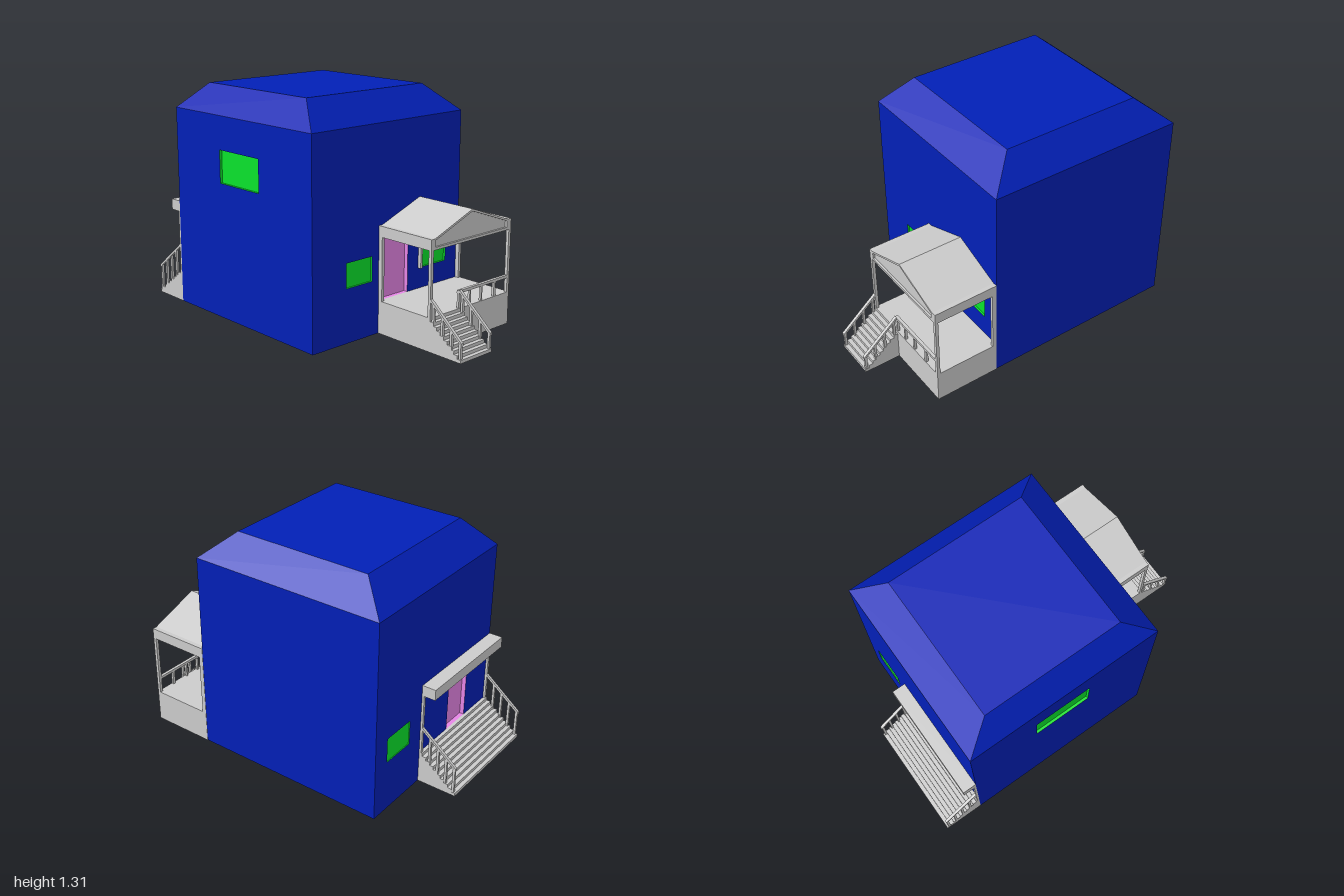
import * as THREE from 'three';

const mat = (color) => new THREE.MeshStandardMaterial({ color, flatShading: true });
const GREY = mat(0xcccccc), BLUE = mat(0x021fb6), GREEN = mat(0x0ae22c), PINK = mat(0xe685e6);

// House extents, and the height of the porch floors and the beams above them
const X0 = -0.56, X1 = 0.555, Z0 = -0.765, Z1 = 0.405, EAVE = 1.163;
const DECK = 0.187, BEAM = 0.548;

function add(parent, name, geometry, material = GREY) {
  const mesh = new THREE.Mesh(geometry, material);
  mesh.name = name;
  parent.add(mesh);
  return mesh;
}

// Box given by its limits
function block(parent, name, x0, x1, y0, y1, z0, z1) {
  const m = add(parent, name, new THREE.BoxGeometry(x1 - x0, y1 - y0, z1 - z0));
  m.position.set((x0 + x1) / 2, (y0 + y1) / 2, (z0 + z1) / 2);
}

// Niche open towards +z: a box turned inside out, without its front face
function niche(parent, name, x0, x1, y0, y1, depth, z, material) {
  const geo = new THREE.BoxGeometry(x1 - x0, y1 - y0, depth);
  const index = Array.from(geo.index.array);
  index.splice(24, 6);
  geo.setIndex(index.reverse());
  geo.computeVertexNormals();
  add(parent, name, geo, material).position.set((x0 + x1) / 2, (y0 + y1) / 2, z - depth / 2);
}

const polygon = (pts) => new THREE.Shape(pts.map(([x, y]) => new THREE.Vector2(x, y)));
const extrude = (shape, depth) => new THREE.ExtrudeGeometry(shape, { depth, bevelEnabled: false });

// Side profile in (z, y), extruded across x0..x1
function sideProfile(pts, x0, x1) {
  return extrude(polygon(pts), x1 - x0).rotateY(-Math.PI / 2).translate(x1, 0, 0);
}

// Wall with recessed openings [name, u0, u1, y0, y1, depth, material]
function wall(parent, name, u0, u1, angle, offset, openings = []) {
  const g = new THREE.Group();
  g.name = name;
  g.rotation.y = angle;
  const shape = polygon([[u0, 0], [u1, 0], [u1, EAVE], [u0, EAVE]]);
  for (const [part, a, b, y0, y1, depth, material] of openings) {
    shape.holes.push(polygon([[a, y0], [a, y1], [b, y1], [b, y0]]));
    niche(g, part, a, b, y0, y1, depth, offset, material);
  }
  add(g, name + 'Panel', new THREE.ShapeGeometry(shape), BLUE).position.z = offset;
  parent.add(g);
}

// Stairs descending from the deck along +z
function stairs(parent, name, x0, x1, zTop, zEnd, steps = 9) {
  const pts = [[zTop, 0], [zTop, DECK]];
  const run = (zEnd - zTop) / steps, rise = DECK / (steps + 1);
  for (let i = 1; i <= steps; i++) {
    const y = DECK - i * rise;
    pts.push([zTop + (i - 1) * run, y], [zTop + i * run, y]);
  }
  pts.push([zEnd, 0]);
  add(parent, name, sideProfile(pts, x0, x1));
}

// Sloped handrail with four balusters, placed from k0 to k1 along it
function stairRail(parent, x0, x1, zTop, yTop, zEnd, yEnd, k0, k1) {
  const g = new THREE.Group();
  g.name = 'stairRailing';
  const t = 0.016, w = 0.007, mid = (x0 + x1) / 2;
  add(g, 'handrail', sideProfile(
    [[zTop, yTop - t], [zEnd, yEnd - t], [zEnd, yEnd], [zTop, yTop]], x0, x1));
  for (let i = 0; i < 4; i++) {
    const k = k0 + (k1 - k0) * i / 3;
    const z = zTop + (zEnd - zTop) * k;
    const y = yTop + (yEnd - yTop) * k;
    block(g, 'baluster', mid - w, mid + w, Math.max(0, DECK * (0.9 - k)), y - t / 2, z - w, z + w);
  }
  parent.add(g);
}

function buildHouse() {
  const g = new THREE.Group();
  g.name = 'house';
  wall(g, 'frontWall', X0, X1, 0, Z1, [
    ['frontDoor', -0.065, 0.14, DECK, BEAM, 0.025, PINK],
    ['frontWindowRight', -0.323, -0.135, 0.307, 0.447, 0.012, GREEN],
    ['frontWindowLeft', 0.24, 0.447, 0.307, 0.447, 0.012, GREEN],
  ]);
  wall(g, 'backWall', -X1, -X0, Math.PI, -Z0, [
    ['backDoor', 0.138, 0.325, DECK, BEAM, 0.025, PINK],
    ['backWindow', -0.45, -0.245, 0.302, 0.447, 0.005, GREEN],
  ]);
  wall(g, 'rightWall', Z0, Z1, -Math.PI / 2, -X0, [
    ['sideWindow', -0.36, -0.022, 0.785, 0.972, 0.015, GREEN],
  ]);
  wall(g, 'leftWall', -Z1, -Z0, Math.PI / 2, X1);

  const floor = add(g, 'floor', new THREE.PlaneGeometry(X1 - X0, Z1 - Z0), BLUE);
  floor.rotation.x = Math.PI / 2;
  floor.position.set((X0 + X1) / 2, 0, (Z0 + Z1) / 2);

  // Hipped roof with a flat top: the upper corners of a box are drawn inward
  const roof = new THREE.BoxGeometry(1, 1, 1);
  const p = roof.attributes.position;
  for (let i = 0; i < p.count; i++) {
    const up = p.getY(i) > 0, right = p.getX(i) > 0, front = p.getZ(i) > 0;
    const x = right ? (up ? 0.41 : X1) : (up ? -0.445 : X0);
    const z = front ? (up ? 0.235 : Z1) : (up ? -0.592 : Z0);
    p.setXYZ(i, x, up ? 1.311 : EAVE, z);
  }
  roof.computeVertexNormals();
  add(g, 'roof', roof, BLUE);
  return g;
}

function buildFrontPorch() {
  const g = new THREE.Group();
  g.name = 'frontPorch';
  const L = -0.085, R = 0.557, F = 0.785;
  block(g, 'deck', L, R, 0, DECK, Z1, F);
  for (const x of [L, R - 0.018]) {
    block(g, 'porchPost', x, x + 0.018, DECK, BEAM, F - 0.018, F);
    block(g, 'wallPost', x, x + 0.018, DECK, BEAM, Z1, Z1 + 0.025);
  }
  block(g, 'windowTrim', 0.225, 0.24, 0.307, 0.447, Z1, Z1 + 0.02);

  // Gabled roof on a slightly wider beam, with a recessed pediment panel
  const gable = () => polygon([[L, BEAM], [R, BEAM], [R, 0.609], [0.53, 0.609],
    [0.23, 0.718], [-0.06, 0.609], [L, 0.609]]);
  add(g, 'gableRoof', extrude(gable(), F - 0.012 - Z1)).position.z = Z1;
  const frame = gable();
  frame.holes.push(polygon([[-0.053, 0.563], [-0.053, 0.6], [0.23, 0.705], [0.52, 0.6], [0.52, 0.563]]));
  add(g, 'pedimentFrame', extrude(frame, 0.012)).position.z = F - 0.012;

  // Front railing beside the stairs
  block(g, 'porchRail', 0.14, R, 0.27, 0.286, F - 0.018, F);
  for (const [x, w] of [[0.14, 0.018], [0.228, 0.011], [0.321, 0.011], [0.429, 0.016]])
    block(g, 'porchBaluster', x, x + w, DECK, 0.27, F - 0.016, F - 0.002);

  stairs(g, 'frontStairs', L, 0.158, F, 1);
  for (const x of [L, 0.14])
    stairRail(g, x, x + 0.018, F, 0.29, 1, 0.108, 0.08, 0.95);
  return g;
}

function buildBackPorch() {
  // Built facing +z, then turned to the back
  const g = new THREE.Group();
  g.name = 'backPorch';
  g.rotation.y = Math.PI;
  const L = -0.138, R = 0.56, W = -Z0, F = 0.785;
  block(g, 'landing', L, R, 0, DECK, W, F);
  block(g, 'canopy', L, R, BEAM, 0.611, W, 0.845);
  for (const x of [L, R - 0.016]) {
    block(g, 'canopyPost', x, x + 0.016, DECK, BEAM, W, 0.778);
    stairRail(g, x, x + 0.016, 0.772, 0.353, 0.995, 0.175, 0.25, 0.95);
  }
  stairs(g, 'backStairs', L, R, F, 1);
  return g;
}

export function createModel() {
  const model = new THREE.Group();
  model.name = 'houseWithPorches';
  model.add(buildHouse(), buildFrontPorch(), buildBackPorch());
  return model;
}
